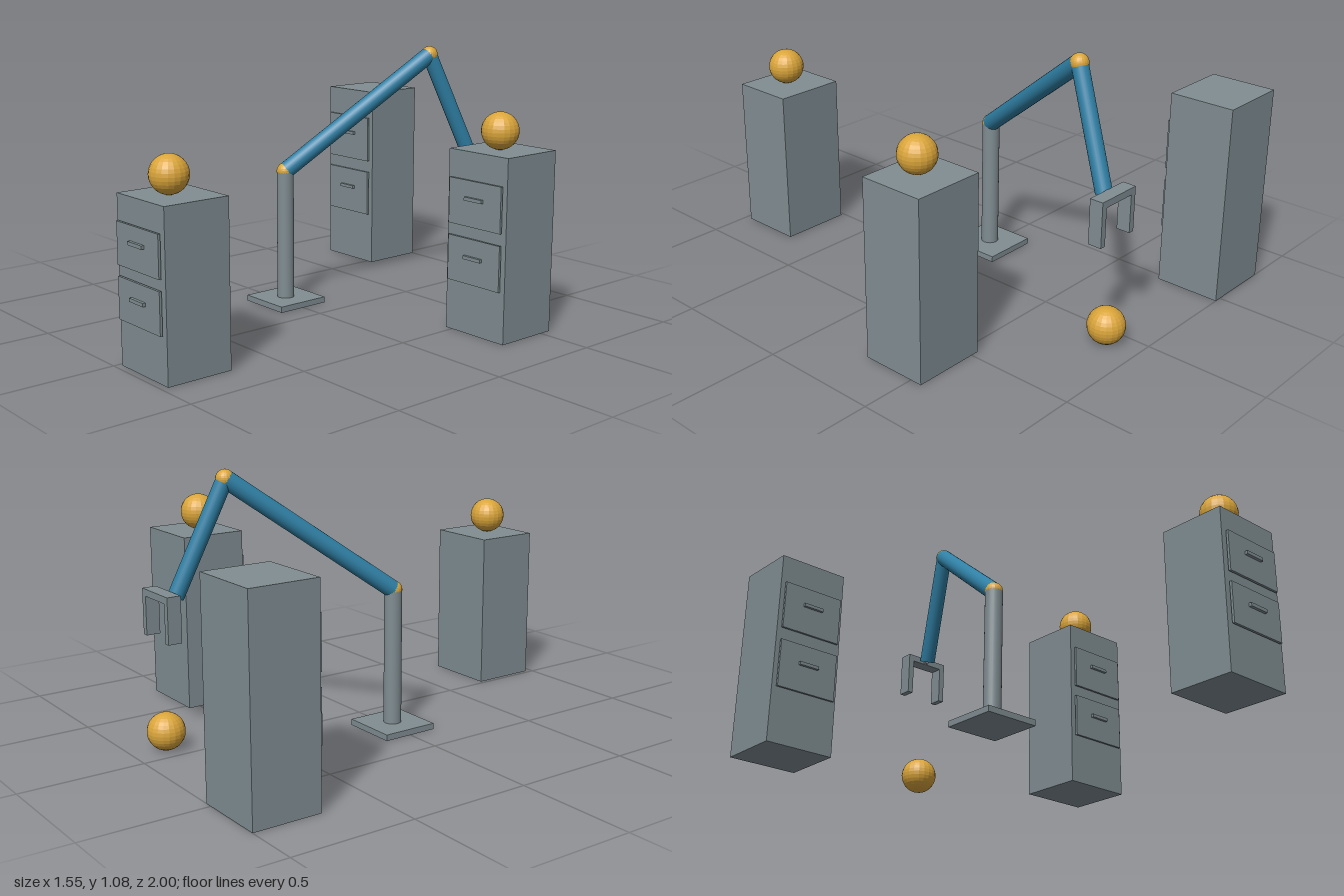
import * as THREE from 'three';

const material = (name, color, flat = false) => {
  const m = new THREE.MeshStandardMaterial({ color, flatShading: flat });
  m.name = name;
  return m;
};

export function createModel() {
  const model = new THREE.Group();
  model.name = 'robotArmAndCabinets';
  const grey = material('slateGrey', 0x808d92);
  const blue = material('armBlue', 0x2f80a5);
  const gold = material('ballGold', 0xdaa53a, true);

  const add = (parent, name, geometry, mat, x, y, z) => {
    const mesh = new THREE.Mesh(geometry, mat);
    mesh.name = name;
    mesh.position.set(x, y, z);
    parent.add(mesh);
    return mesh;
  };
  const box = (parent, name, w, h, d, x, y, z) =>
    add(parent, name, new THREE.BoxGeometry(w, h, d), grey, x, y, z);
  const ball = (parent, name, r, x, y, z) =>
    add(parent, name, new THREE.SphereGeometry(r, 20, 16), gold, x, y, z);

  // Round bar between two points
  const bar = (parent, name, a, b, r, mat) => {
    const dir = b.clone().sub(a);
    const mid = a.clone().add(b).multiplyScalar(0.5);
    const mesh = add(parent, name, new THREE.CylinderGeometry(r, r, dir.length(), 24), mat, mid.x, mid.y, mid.z);
    mesh.quaternion.setFromUnitVectors(new THREE.Vector3(0, 1, 0), dir.normalize());
  };

  // Cabinets: body, two drawer fronts set off the body, and their handles
  const cabinet = (x, back, h) => {
    const g = new THREE.Group();
    g.name = 'cabinet';
    g.position.set(x, 0, back);
    box(g, 'cabinetBody', 0.305, h, 0.276, 0, h / 2, 0.138);
    for (const [panelY, handleY] of [[0.41, 0.432], [0.725, 0.752]]) {
      box(g, 'drawerFront', 0.27, h * 0.25, 0.01, 0, h * panelY, 0.287);
      box(g, 'drawerHandle', 0.09, 0.014, 0.013, 0, h * handleY, 0.2975);
    }
    model.add(g);
  };
  cabinet(-0.622, -1, 0.824);
  cabinet(0.62, -0.55, 0.736);
  cabinet(0.168, 0.696, 0.654);

  // Balls on two cabinets and on the floor
  const R = 0.075;
  ball(model, 'ball', R, 0.62, 0.736 + R, -0.396);
  ball(model, 'ball', R, 0.168, 0.654 + R, 0.847);
  ball(model, 'ball', R, 0.085, R, -0.86);

  // Arm: base plate, column, two links and their joints
  const arm = new THREE.Group();
  arm.name = 'arm';
  model.add(arm);
  const foot = new THREE.Vector3(-0.228, 0.02, 0);
  const shoulder = new THREE.Vector3(-0.228, 0.575, 0);
  const elbow = new THREE.Vector3(0, 1.045, -0.622);
  const wrist = new THREE.Vector3(0.069, 0.603, -0.808);
  const palm = new THREE.Vector3(0.085, 0.61, -0.86);
  box(arm, 'basePlate', 0.237, 0.025, 0.237, -0.228, 0.0125, 0);
  bar(arm, 'column', foot, shoulder, 0.036, grey);
  bar(arm, 'upperArm', shoulder, elbow, 0.036, blue);
  bar(arm, 'forearm', elbow, wrist, 0.033, blue);
  ball(arm, 'shoulderJoint', 0.0365, ...shoulder.toArray());
  ball(arm, 'elbowJoint', 0.0365, ...elbow.toArray());

  // Gripper: wrist pin, cross bar and two fingers
  const gripper = new THREE.Group();
  gripper.name = 'gripper';
  arm.add(gripper);
  bar(gripper, 'wristPin', wrist, palm, 0.008, grey);
  box(gripper, 'palm', 0.2, 0.028, 0.057, 0.085, 0.613, -0.86);
  for (const side of [-1, 1]) {
    box(gripper, 'finger', 0.025, 0.155, 0.057, 0.085 + side * 0.0875, 0.522, -0.86);
  }
  return model;
}
